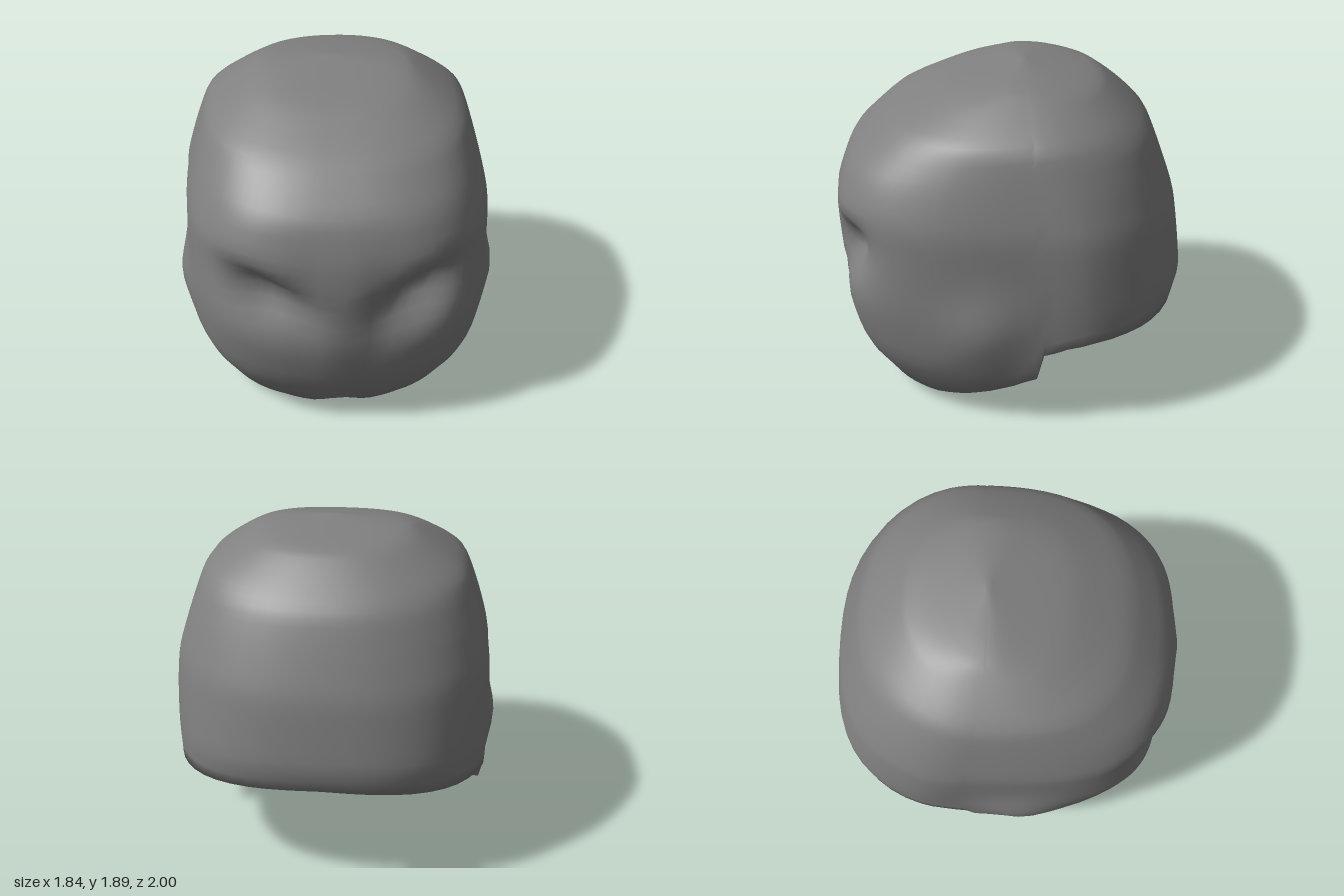
import * as THREE from 'three';

const TOP = 1.89, ROWS = 34;

// slightly rounded profile through [y, value] points, sampled for lookup
const rounded = (points) => new THREE.CatmullRomCurve3(
  points.map(([y, v]) => new THREE.Vector3(y, v, 0)), false, 'catmullrom', 0.22,
).getPoints(160).map((p) => [p.x, p.y]);

// profiles by height
const FRONT = rounded([[0, 0.62], [0.05, 0.7], [0.3, 0.87], [0.58, 0.96], [0.73, 0.99], [1, 1], [1.19, 0.98],
  [1.41, 0.9], [1.63, 0.67], [1.79, 0.34], [TOP, -0.09]]);
const BACK = rounded([[0.3, -0.93], [0.63, -0.97], [0.76, -1], [1.14, -0.95], [1.56, -0.79], [1.81, -0.51],
  [TOP, -0.09]]);
const WIDTH = rounded([[0, 0.68], [0.1, 0.75], [0.25, 0.82], [0.4, 0.86], [0.67, 0.865], [1.18, 0.86],
  [1.63, 0.725], [1.85, 0.4], [TOP, 0]]);
const MIDDLE = [[1.4, -0.2], [TOP, -0.09]];
// squareness of the front and back halves by height
const SQUARE_FRONT = [[0.15, 2.5], [0.7, 3.2], [1.2, 3.2], [1.7, 2.6]];
const SQUARE_BACK = [[0.7, 2.7], [1.1, 2.45], [1.7, 2.2]];
// bottom edge by angle from the front: [degrees, y]
const RIM = [[0, 0], [21, 0.1], [55, 0.1], [68, 0.14], [78, 0.2], [85, 0.26], [89.4, 0.32],
  [90, 0.49], [95, 0.53], [105, 0.56], [120, 0.58], [180, 0.63]];
const COLUMNS = [0, 3, 6, 9, 13, 17, 21, 25, 29, 33, 37, 41, 45, 50, 55, 61, 68, 73, 78, 82, 85, 87.5, 89.4,
  90, 92, 95, 100, 105, 112, 120, 128, 136, 144, 152, 160, 167, 174, 180];
// underside: ring positions from near the centre out to the rim
const UNDERSIDE = [0.8, 0.6, 0.4, 0.22, 0.1];
const UNDER_CENTRE = [0, 0.41, -0.15];

function lookup(table, v) {
  if (v <= table[0][0]) return table[0][1];
  for (let i = 1; i < table.length; i++) {
    const [a, fa] = table[i - 1], [b, fb] = table[i];
    if (v <= b) return fa + (fb - fa) * (v - a) / (b - a);
  }
  return table[table.length - 1][1];
}

const bell = (v, size) => Math.exp(-((v / size) ** 2));
const mix = THREE.MathUtils.lerp;

// point on the outer surface, for the +x half
function surfacePoint(deg, y) {
  const a = deg * Math.PI / 180;
  const c = deg === 90 ? 0 : Math.cos(a), s = deg === 180 ? 0 : Math.sin(a);
  const mid = lookup(MIDDLE, y);
  const power = 2 / lookup(deg < 90 ? SQUARE_FRONT : SQUARE_BACK, y);
  const reach = lookup(deg < 90 ? FRONT : BACK, y) - mid;
  let x = lookup(WIDTH, y) * s ** power;
  let z = mid + reach * Math.abs(c) ** power;
  // jaw bulge and slight swelling behind the sides
  x += s * s * 0.06 * bell(z - 0.14, 0.23) * bell(y - 0.62, 0.2);
  x += s * s * 0.02 * bell(z + 0.42, 0.18) * bell(y - 0.9, 0.4);
  if (deg < 90) {
    // face falls away from the centre line
    z -= 0.045 * Math.min(1, x / 0.2) * bell(y - 0.85, 0.35) * c;
    // slanted eye hollow: sharp under the brow, gentle below
    const dx = x - 0.42, dy = y - 0.96;
    const u = dx * 0.87 + dy * 0.5, v = dy * 0.87 - dx * 0.5;
    const depth = 0.145 * bell(u, 0.25) * bell(v, v > 0 ? 0.1 : 0.17);
    z -= depth;
    x -= depth * 0.15;
  }
  return [x, y, z];
}

// point on the shallow underside, flattening out just behind the chin tip
function undersidePoint(deg, s) {
  const [x, y, z] = surfacePoint(deg, lookup(RIM, deg));
  const [cx, cy, cz] = UNDER_CENTRE;
  return [mix(x, cx, s), mix(Math.max(y, 0.09), cy, s), mix(z, cz, s)];
}

function helmetGeometry() {
  // full loop of columns, the second half mirrored
  const loop = COLUMNS.map((d) => [d, 1]);
  for (let i = COLUMNS.length - 2; i > 0; i--) loop.push([COLUMNS[i], -1]);
  const n = loop.length;

  // rings from the underside centre, out to the rim, then up to the crown
  const rings = UNDERSIDE.map((s) => (deg) => undersidePoint(deg, s));
  for (let r = 0; r < ROWS; r++) {
    const t = 1 - (1 - r / ROWS) ** 1.7;
    rings.push((deg) => surfacePoint(deg, mix(lookup(RIM, deg), TOP, t)));
  }
  const points = [], index = [];
  for (const ring of rings) {
    for (const [deg, sign] of loop) {
      const [x, y, z] = ring(deg);
      points.push(x * sign, y, z);
    }
  }
  const last = (rings.length - 1) * n, crown = rings.length * n, under = crown + 1;
  points.push(0, TOP, -0.09, ...UNDER_CENTRE);

  for (let j = 0; j < n; j++) {
    const k = (j + 1) % n;
    for (let r = 0; r < last; r += n) {
      index.push(r + j, r + k, r + k + n, r + j, r + k + n, r + j + n);
    }
    index.push(last + j, last + k, crown, under, k, j);
  }
  const geometry = new THREE.BufferGeometry();
  geometry.setAttribute('position', new THREE.Float32BufferAttribute(points, 3));
  geometry.setIndex(index);
  geometry.computeVertexNormals();
  return geometry;
}

export function createModel() {
  const group = new THREE.Group();
  group.name = 'helmet';
  const material = new THREE.MeshStandardMaterial({ color: 0x808080 });
  const shell = new THREE.Mesh(helmetGeometry(), material);
  shell.name = 'helmetShell';
  group.add(shell);
  return group;
}
